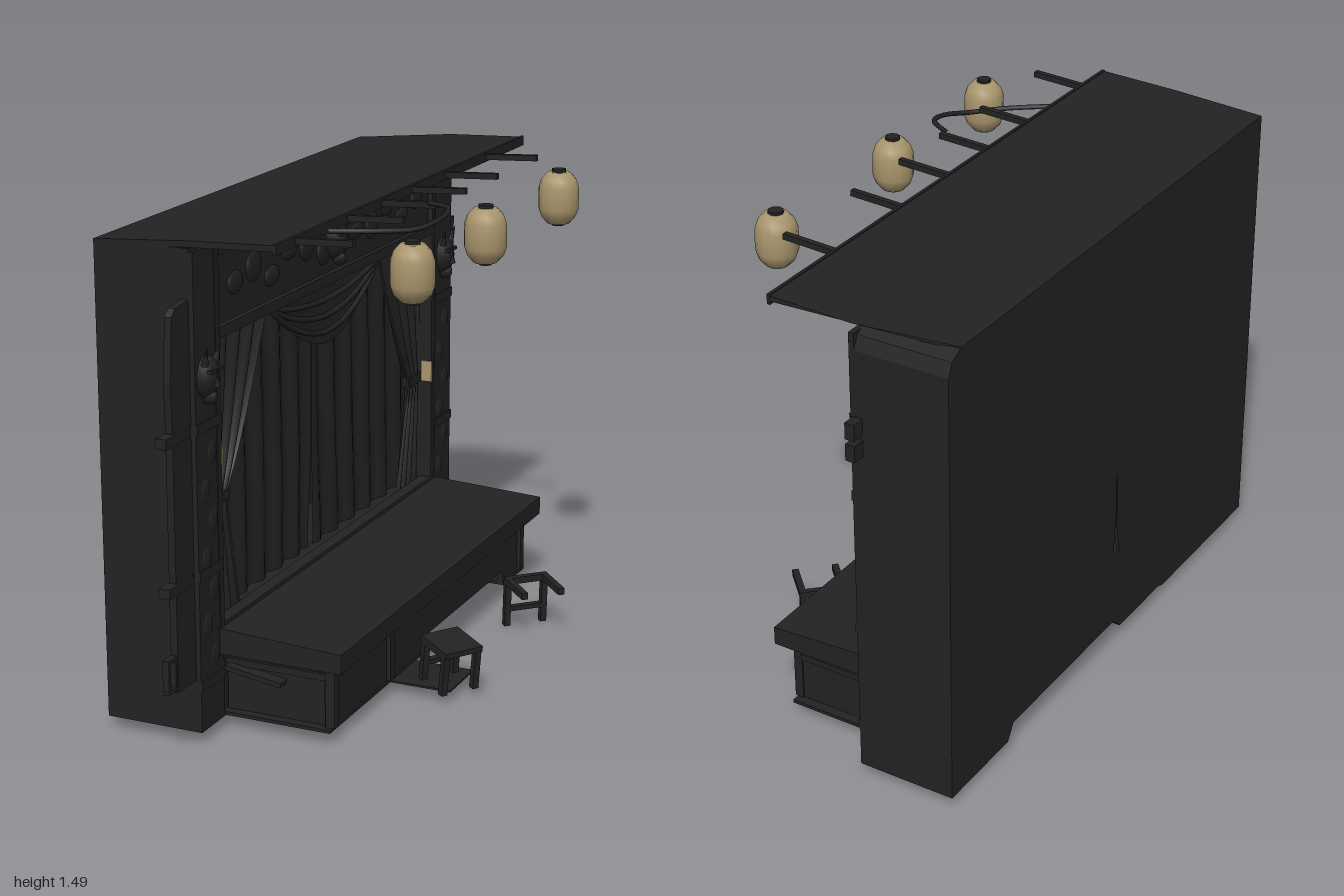
import * as THREE from 'three';

const dark = new THREE.MeshStandardMaterial({ color: 0x222222 });
dark.name = 'charcoal wood';
const cloth = new THREE.MeshStandardMaterial({ color: 0x212121, side: THREE.DoubleSide });
cloth.name = 'charcoal cloth';
const paper = new THREE.MeshStandardMaterial({ color: 0xa8956c });
paper.name = 'lantern paper';

export function createModel() {
  const root = new THREE.Group();
  const add = (name, geo, mat = dark, parent = root) => {
    const m = new THREE.Mesh(geo, mat);
    m.name = name;
    parent.add(m);
    return m;
  };
  // box from min/max ranges
  const box = (name, x0, x1, y0, y1, z0, z1, mat, parent) => {
    const m = add(name, new THREE.BoxGeometry(x1 - x0, y1 - y0, z1 - z0), mat, parent);
    m.position.set((x0 + x1) / 2, (y0 + y1) / 2, (z0 + z1) / 2);
    return m;
  };
  const poly = (Type, pts) => new Type(pts.map(p => new THREE.Vector2(p[0], p[1])));
  // outline in (z, y), extruded backwards from x = front
  const panel = (name, outline, hole, front, depth) => {
    const s = poly(THREE.Shape, outline);
    if (hole) s.holes.push(poly(THREE.Path, hole));
    const g = new THREE.ExtrudeGeometry(s, { depth, bevelEnabled: false });
    g.rotateY(-Math.PI / 2);
    add(name, g).position.x = front;
  };
  // outline in (x, y), extruded along z
  const profile = (name, outline, z0, z1) => {
    const g = new THREE.ExtrudeGeometry(poly(THREE.Shape, outline), { depth: z1 - z0, bevelEnabled: false });
    g.translate(0, 0, z0);
    return add(name, g);
  };

  // theatre body: frame with stage opening, back wall with a torn slit
  const outline = [[-0.955, 0.04], [-0.65, 0.04], [-0.62, 0.09], [-0.02, 0.09], [0.02, 0.05],
    [0.27, 0.05], [0.3, 0.04], [0.845, 0.04], [0.845, 1.45], [-0.9, 1.45], [-0.938, 1.43], [-0.955, 1.39]];
  const opening = [[-0.788, 0.29], [0.703, 0.29], [0.703, 1.17], [-0.788, 1.17]];
  const slit = [[-0.035, 0.34], [0, 0.34], [-0.018, 0.44], [-0.022, 0.62], [-0.03, 0.62], [-0.024, 0.5]];
  panel('theatreFrame', outline, opening, -0.175, 0.285);
  panel('backWall', outline, slit, -0.46, 0.01);

  // roof with front overhang, clipped rear corner and rafters
  const roof = profile('roof', [[-0.47, 1.44], [0.09, 1.465], [0.09, 1.482], [-0.17, 1.472], [-0.47, 1.452]], -0.96, 0.845);
  const rp = roof.geometry.attributes.position;
  for (let i = 0; i < rp.count; i++) if (rp.getX(i) < -0.4 && rp.getZ(i) < -0.9) rp.setZ(i, -0.89);
  roof.geometry.computeVertexNormals();
  for (const z of [-0.64, -0.31, -0.06, 0.16, 0.39, 0.72]) {
    const r = box('rafter', -0.17, 0.26, 1.45, 1.468, z - 0.009, z + 0.009);
    r.rotation.z = 0.05;
    r.position.y = 1.468;
  }
  box('eaveBoard', 0.08, 0.09, 1.455, 1.485, -0.96, 0.845);

  // pillars, mouldings and lintel
  for (const [z0, z1] of [[0.705, 0.845], [-0.955, -0.82]]) {
    const zc = (z0 + z1) / 2;
    box('pillar', -0.18, -0.163, 0.04, 1.44, z0, z1);
    for (const y of [0.18, 0.51, 0.94]) box('pillarBand', -0.18, -0.158, y - 0.015, y + 0.015, z0, z1);
    for (let i = 0; i < 7; i++) {
      const c = add('pillarCarving', new THREE.SphereGeometry(1, 8, 6));
      c.position.set(-0.165, 0.25 + i * 0.1, zc + 0.02 * (i % 2 ? 1 : -1));
      c.scale.set(0.007, 0.04, 0.03);
    }
  }
  for (const z of [0.715, -0.8]) box('openingPost', -0.19, -0.16, 0.3, 1.43, z - 0.012, z + 0.012);
  for (const y of [1.185, 1.42]) box('lintelMoulding', -0.18, -0.158, y - 0.016, y + 0.016, -0.79, 0.705);
  for (let i = 0; i < 12; i++) {
    const c = add('friezeCarving', new THREE.SphereGeometry(1, 8, 6));
    c.position.set(-0.174, 1.3 + 0.03 * Math.sin(i * 2.3), 0.58 - i * 0.115);
    c.scale.set(0.009, 0.035 + 0.012 * Math.sin(i * 1.7), 0.05);
  }

  // horned masks
  const mask = (y, z) => {
    const g = new THREE.Group();
    g.name = 'hornedMask';
    g.position.set(-0.16, y, z);
    root.add(g);
    const face = add('maskFace', new THREE.SphereGeometry(1, 12, 8), dark, g);
    face.scale.set(0.036, 0.062, 0.05);
    const nose = add('maskNose', new THREE.ConeGeometry(0.013, 0.05, 6), dark, g);
    nose.position.set(0.032, 0, 0);
    const chin = add('maskChin', new THREE.SphereGeometry(0.024, 8, 6), dark, g);
    chin.position.set(0.01, -0.055, 0);
    for (const s of [-1, 1]) {
      const horn = add('maskHorn', new THREE.ConeGeometry(0.011, 0.06, 6), dark, g);
      horn.position.set(0.02, 0.068, s * 0.035);
      horn.rotation.set(s * 0.15, 0, -0.25);
      const brow = add('maskBrow', new THREE.BoxGeometry(0.014, 0.01, 0.03), dark, g);
      brow.position.set(0.03, 0.022, s * 0.018);
    }
  };
  mask(1.3, -0.05);
  mask(1.08, 0.785);
  mask(1.08, -0.88);

  // cloth sheets: edges(y) gives both z edges, folds ripple along the sheet
  const sheet = (name, x, y0, y1, edges, folds, amp) => {
    const g = new THREE.PlaneGeometry(1, 1, 40, 16);
    const p = g.attributes.position;
    for (let i = 0; i < p.count; i++) {
      const u = p.getX(i) + 0.5, t = p.getY(i) + 0.5;
      const y = y0(u) + (y1 - y0(u)) * t;
      const [a, b] = edges(y);
      p.setXYZ(i, x + amp * Math.sin(u * folds * Math.PI * 2 + t), y, a + (b - a) * u);
    }
    g.computeVertexNormals();
    add(name, g, cloth);
  };
  const gap = y => 0.018 * Math.max(0, Math.min(1, (0.64 - y) / 0.25));
  sheet('leftCurtain', -0.24, () => 0.29, 1.18, y => [0.7, -0.022 + gap(y)], 6, 0.01);
  sheet('rightCurtain', -0.24, () => 0.29, 1.18, y => [-0.026 - gap(y) * 0.6, -0.79], 6, 0.01);
  const pinch = y => y > 0.68 ? 0.08 + 0.27 * Math.pow((y - 0.68) / 0.5, 0.8) : 0.08 + 0.09 * (0.68 - y) / 0.36;
  sheet('leftDrape', -0.21, () => 0.32, 1.18, y => [0.69, 0.68 - pinch(y)], 4, 0.012);
  sheet('rightDrape', -0.21, () => 0.32, 1.18, y => [-0.78 + pinch(y), -0.785], 4, 0.012);
  sheet('swag', -0.2, u => 1.16 - 0.18 * Math.sin(u * Math.PI), 1.18, () => [0.34, -0.43], 0.5, 0.02);
  for (let k = 1; k < 4; k++) {
    const c = new THREE.QuadraticBezierCurve3(new THREE.Vector3(-0.19, 1.165, 0.34),
      new THREE.Vector3(-0.17, 1.17 - 0.1 * k, -0.045), new THREE.Vector3(-0.19, 1.165, -0.43));
    add('swagFold', new THREE.TubeGeometry(c, 20, 0.009, 6));
  }
  for (const z of [0.64, -0.74]) box('curtainTie', -0.225, -0.195, 0.665, 0.695, z - 0.045, z + 0.045);

  // paper tags on the inner faces of the posts
  box('leftTag', -0.195, -0.158, 0.8, 0.865, 0.697, 0.704, paper);
  box('rightTag', -0.195, -0.158, 0.665, 0.735, -0.789, -0.783, paper);

  // stage platform and its boarded base
  profile('stageDeck', [[-0.25, 0.24], [0.22, 0.24], [0.22, 0.298], [-0.16, 0.318], [-0.25, 0.32]], -0.83, 0.73);
  box('footlightRail', -0.2, -0.16, 0.3, 0.33, -0.8, 0.7);
  box('leftBase', 0.145, 0.165, 0.05, 0.24, 0.02, 0.68);
  box('middleBase', 0.145, 0.165, 0.09, 0.24, -0.64, 0.02);
  box('rightBase', 0.145, 0.165, 0.04, 0.24, -0.79, -0.64);
  for (const z of [0.67, 0.28, -0.78]) box('basePost', 0.15, 0.178, 0.05, 0.24, z - 0.015, z + 0.015);
  for (const z of [0.66, -0.78]) {
    box('baseSide', -0.17, 0.15, 0.05, 0.24, z - 0.01, z + 0.01);
    box('baseSideRail', -0.17, 0.15, 0.19, 0.21, z - 0.02, z + 0.02);
  }
  box('leftFloor', -0.18, 0.17, 0.04, 0.05, 0.02, 0.7);
  box('middleFloor', -0.18, 0.16, 0.09, 0.1, -0.64, 0.02);
  box('rightFloor', -0.18, 0.17, 0.04, 0.05, -0.82, -0.64);
  box('floorMat', 0.17, 0.36, 0.036, 0.042, 0.09, 0.27);
  const step = box('sideStep', -0.16, 0.02, 0.17, 0.185, 0.66, 0.71);
  step.rotation.z = -0.15;

  // side door leaf with brackets and latch
  panel('sideDoor', [[0.83, 0.2], [0.95, 0.2], [0.95, 0.95], [0.955, 1.1], [0.94, 1.28], [0.92, 1.3], [0.83, 1.31]], null, -0.178, 0.022);
  for (const y of [0.51, 0.94]) box('doorBracket', -0.205, -0.17, y - 0.015, y + 0.015, 0.86, 1);
  for (const z of [0.953, 0.993]) box('latchPost', -0.2, -0.18, 0.21, 0.31, z - 0.006, z + 0.006);
  for (const y of [0.215, 0.305]) box('latchBar', -0.2, -0.18, y - 0.006, y + 0.006, 0.95, 1);
  for (const y of [1.1, 1.165]) box('sidePeg', -0.2, -0.17, y - 0.025, y + 0.025, -0.995, -0.95);

  // lanterns
  for (const z of [-0.515, 0.083, 0.605]) {
    const g = new THREE.Group();
    g.name = 'lantern';
    g.position.set(0.38, 1.387, z);
    root.add(g);
    const pts = [[0, -0.08], [0.034, -0.08], [0.054, -0.058], [0.062, -0.035], [0.063, 0], [0.062, 0.035],
      [0.054, 0.058], [0.034, 0.08], [0, 0.08]].map(p => new THREE.Vector2(...p));
    add('lanternShade', new THREE.LatheGeometry(pts, 14), paper, g);
    for (const [y, r] of [[-0.08, 0.02], [0.082, 0.023]]) {
      add('lanternCap', new THREE.CylinderGeometry(r, r, 0.014, 8), dark, g).position.y = y;
    }
  }

  // hanging cable
  const cable = new THREE.CatmullRomCurve3([[0.1, 1.465, 0.55], [0.22, 1.46, 0.47], [0.3, 1.458, 0.39], [0.335, 1.475, 0.3],
    [0.32, 1.487, 0.22], [0.24, 1.485, 0.17]].map(p => new THREE.Vector3(...p)));
  add('cable', new THREE.TubeGeometry(cable, 30, 0.008, 6));

  // stools: h is half the width, top the height, legs the local x sides that have legs
  const stool = (name, pos, turn, tilt, h, top, legs) => {
    const g = new THREE.Group();
    g.name = name;
    g.position.set(...pos);
    g.rotation.set(0, turn, tilt);
    root.add(g);
    const t = 0.01;
    for (const s of [-1, 1]) {
      box('seatRail', -h - t, h + t, top - 0.022, top, s * h - t, s * h + t, dark, g);
      for (const x of legs) box('stoolLeg', x * h - t, x * h + t, 0, top - 0.02, s * h - t, s * h + t, dark, g);
    }
    box('backRail', -h - t, -h + t, top - 0.022, top, -h, h, dark, g);
    box('lowRail', -h - t, -h + t, 0.05, 0.065, -h, h, dark, g);
    return g;
  };
  stool('openStool', [0.365, 0, -0.395], -Math.PI / 4, -0.05, 0.063, 0.165, [-1]);
  const second = stool('seatedStool', [0.325, 0.035, 0.2], -0.6, -0.12, 0.055, 0.14, [-1, 1]);
  box('stoolSeat', -0.07, 0.07, 0.125, 0.143, -0.065, 0.065, dark, second);

  return root;
}
